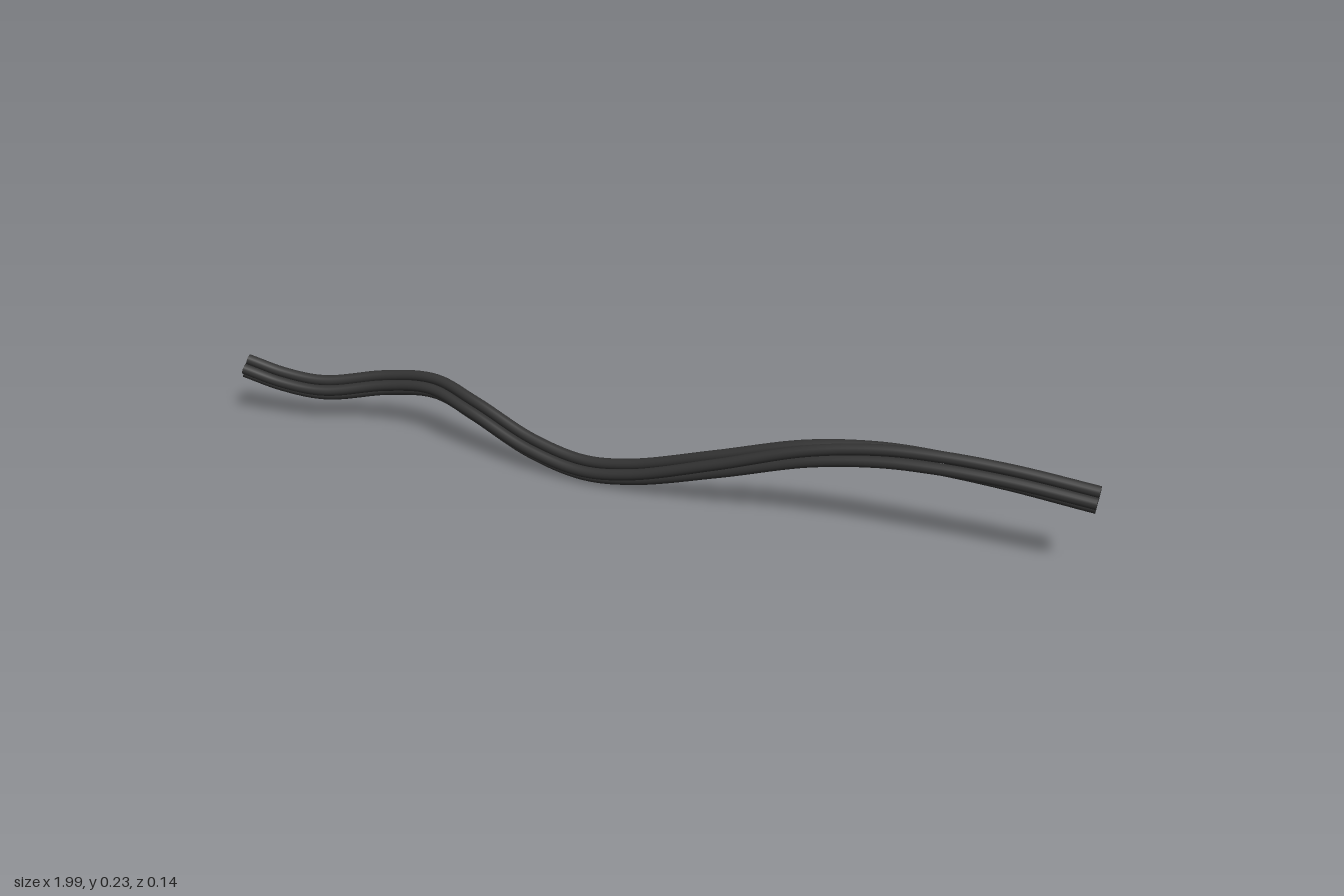
import * as THREE from 'three';

const STRANDS = 4;
const STRAND_RADIUS = 0.0125;
const BUNDLE_RADIUS = 0.0178;
const STEPS = 80;

// Centre line of the whole bundle
const path = new THREE.CatmullRomCurve3([
  [-0.985, 0.125, 0.037], [-0.9, 0.097, 0.016], [-0.8, 0.085, -0.005], [-0.65, 0.11, -0.04],
  [-0.52, 0.127, -0.034], [-0.4, 0.107, 0], [-0.25, 0.055, 0.023], [-0.12, 0.031, 0.031],
  [0, 0.046, 0.036], [0.2, 0.108, 0.041], [0.4, 0.17, 0.034], [0.55, 0.194, 0.027],
  [0.67, 0.198, 0.022], [0.82, 0.191, 0.014], [0.995, 0.173, 0.005],
].map((p) => new THREE.Vector3(...p)));

// Point on one strand: offset from the centre line, slowly twisting along it
function strandPoint(t, phase) {
  const centre = path.getPointAt(t);
  const tangent = path.getTangentAt(t);
  const side = new THREE.Vector3().crossVectors(tangent, new THREE.Vector3(0, 1, 0)).normalize();
  const up = new THREE.Vector3().crossVectors(side, tangent);
  const angle = phase - (Math.PI / 2) * THREE.MathUtils.smoothstep(centre.x, -0.12, 1);
  return centre
    .addScaledVector(up, BUNDLE_RADIUS * Math.cos(angle))
    .addScaledVector(side, BUNDLE_RADIUS * Math.sin(angle));
}

// Flat disc closing one end of a strand
function endCap(position, direction, material) {
  const cap = new THREE.Mesh(new THREE.CircleGeometry(STRAND_RADIUS, 16), material);
  cap.name = 'strandEnd';
  cap.position.copy(position);
  cap.quaternion.setFromUnitVectors(new THREE.Vector3(0, 0, 1), direction);
  return cap;
}

export function createModel() {
  const group = new THREE.Group();
  group.name = 'cableBundle';
  const material = new THREE.MeshStandardMaterial({ color: 0x333333 });

  for (let i = 0; i < STRANDS; i++) {
    const points = [];
    for (let j = 0; j <= STEPS; j++) {
      points.push(strandPoint(j / STEPS, (i / STRANDS) * Math.PI * 2));
    }
    const curve = new THREE.CatmullRomCurve3(points);
    const strand = new THREE.Group();
    strand.name = `strand${i + 1}`;
    const tube = new THREE.Mesh(new THREE.TubeGeometry(curve, 140, STRAND_RADIUS, 16), material);
    tube.name = 'cable';
    strand.add(
      tube,
      endCap(curve.getPointAt(0), curve.getTangentAt(0).negate(), material),
      endCap(curve.getPointAt(1), curve.getTangentAt(1), material),
    );
    group.add(strand);
  }
  return group;
}
